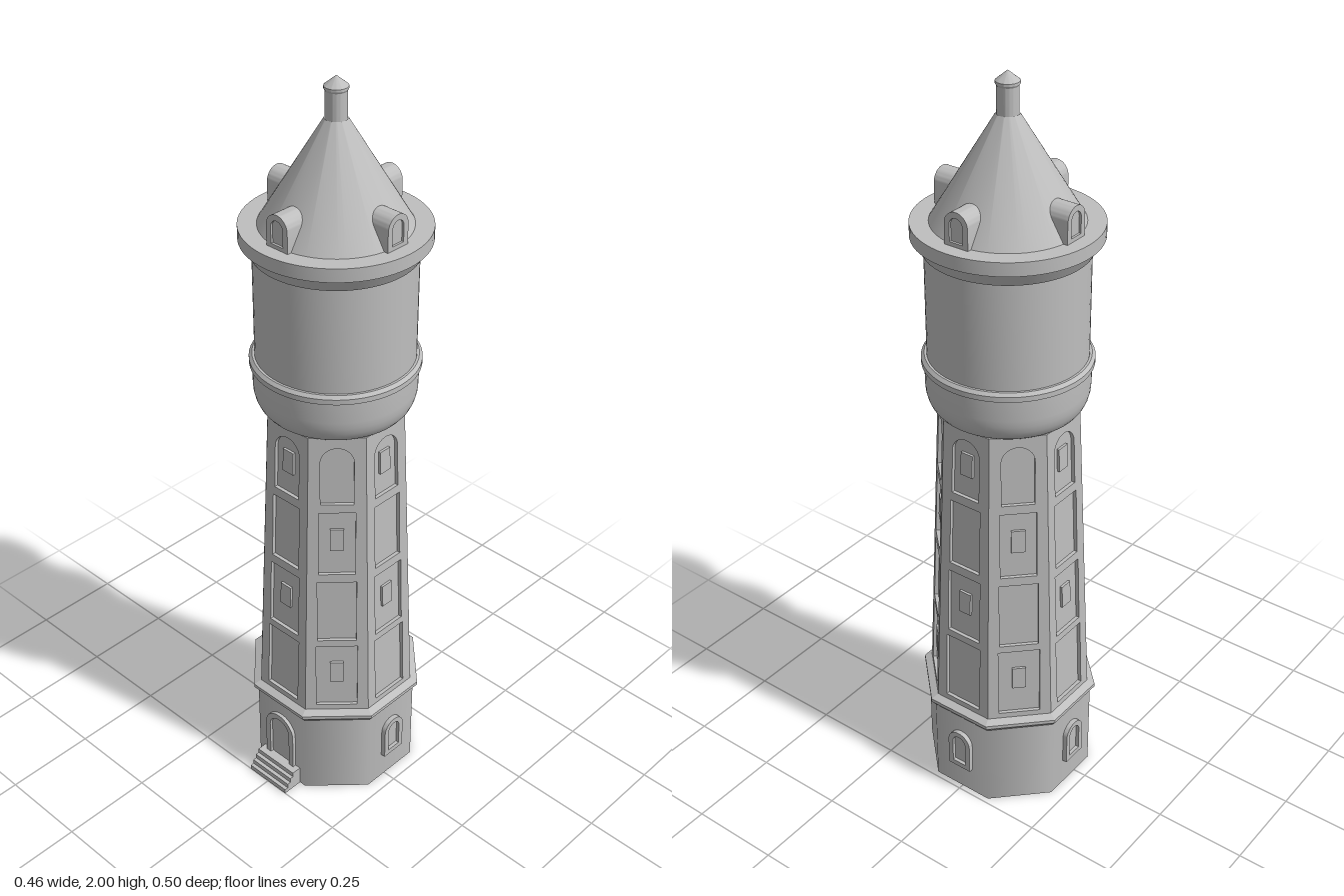
import * as THREE from 'three';
import { toCreasedNormals } from 'three/addons/utils/BufferGeometryUtils.js';

const stone = new THREE.MeshStandardMaterial({ color: 0xbebebe });
stone.name = 'grey stone';

function add(parent, name, geometry, x = 0, y = 0, z = 0) {
  const mesh = new THREE.Mesh(geometry, stone);
  mesh.name = name;
  mesh.position.set(x, y, z);
  parent.add(mesh);
  return mesh;
}

// Octagonal frustum given by apothems, one side facing +z
function octagon(top, bottom, height, flat = true) {
  const k = 1 / Math.cos(Math.PI / 8);
  let g = new THREE.CylinderGeometry(top * k, bottom * k, height, 8).rotateY(Math.PI / 8);
  if (flat) g = toCreasedNormals(g, 0.1);
  return g;
}

// Round-headed outline, or a plain rectangle when round is false
function outline(C, halfWidth, y0, y1, round = true) {
  const p = new C();
  p.moveTo(-halfWidth, y0);
  p.lineTo(halfWidth, y0);
  if (round) {
    p.lineTo(halfWidth, y1 - halfWidth);
    p.absarc(0, y1 - halfWidth, halfWidth, 0, Math.PI, false);
  } else {
    p.lineTo(halfWidth, y1);
    p.lineTo(-halfWidth, y1);
  }
  p.closePath();
  return p;
}

function extrude(shape, depth) {
  const g = new THREE.ExtrudeGeometry(shape, { depth, bevelEnabled: false, curveSegments: 10 });
  return toCreasedNormals(g, 0.5);
}

// Raised arched surround with a recessed infill
function archedOpening(parent, name, halfWidth, y0, y1, border, z, depth) {
  const frame = outline(THREE.Shape, halfWidth, y0, y1);
  frame.holes.push(outline(THREE.Path, halfWidth - border, y0 + border, y1 - border));
  add(parent, name + 'Frame', extrude(frame, depth), 0, 0, z);
  add(parent, name + 'Pane', extrude(outline(THREE.Shape, halfWidth - border, y0 + border, y1 - border), depth * 0.4), 0, 0, z);
}

function lathe(points) {
  const g = new THREE.LatheGeometry(points.map(([r, y]) => new THREE.Vector2(r, y)), 64);
  return toCreasedNormals(g, 0.45);
}

export function createModel() {
  const model = new THREE.Group();
  model.name = 'waterTower';
  const tower = new THREE.Group();
  tower.name = 'tower';
  tower.position.z = -0.022;
  model.add(tower);

  // Octagonal plinth with its moulding
  add(tower, 'plinth', octagon(0.213, 0.213, 0.25, false), 0, 0.125, 0);
  add(tower, 'plinthFlare', octagon(0.225, 0.213, 0.015), 0, 0.2575, 0);
  add(tower, 'plinthMoulding', octagon(0.225, 0.225, 0.01), 0, 0.27, 0);
  add(tower, 'plinthSlope', octagon(0.205, 0.225, 0.01), 0, 0.28, 0);

  // Tapering shaft: a core covered by eight walls with sunk panels
  const y0 = 0.28, y1 = 1.145, a0 = 0.206, a1 = 0.17, sink = 0.01;
  const height = y1 - y0, tan = Math.tan(Math.PI / 8);
  const tilt = Math.atan((a0 - a1) / height);
  add(tower, 'shaftCore', octagon(a1 - sink, a0 - sink, height), 0, (y0 + y1) / 2, 0);
  const rows = [[0.30, 0.50, 0.055], [0.52, 0.71, 0.051], [0.735, 0.925, 0.047], [0.95, 1.115, 0.042]];
  for (let i = 0; i < 8; i++) {
    const side = new THREE.Group();
    side.name = 'shaftSide' + i;
    side.rotation.y = i * Math.PI / 4;
    tower.add(side);
    const wall = new THREE.Group();
    wall.name = 'shaftWall';
    wall.position.set(0, y0, a0);
    wall.rotation.x = -tilt;
    side.add(wall);

    const shape = new THREE.Shape([
      new THREE.Vector2(-a0 * tan, 0), new THREE.Vector2(a0 * tan, 0),
      new THREE.Vector2(a1 * tan, height), new THREE.Vector2(-a1 * tan, height)]);
    rows.forEach(([b, t, w], row) => {
      shape.holes.push(outline(THREE.Path, w, b - y0, t - y0, row === 3));
      // Small windows alternate between neighbouring sides
      if (row % 2 !== i % 2) {
        add(wall, 'shaftWindow', new THREE.BoxGeometry(0.036, 0.064, 0.012), 0, (b + t) / 2 - y0 + 0.01, -sink + 0.001);
      }
    });
    add(wall, 'panelledWall', extrude(shape, sink), 0, 0, -sink);
  }

  // Round tank with bowl, band and cornice
  const bowl = [];
  for (let i = 0; i <= 6; i++) {
    const t = i / 6 * Math.PI / 2;
    bowl.push([0.165 + 0.041 * Math.sin(t), 1.21 - 0.07 * Math.cos(t)]);
  }
  add(tower, 'tank', lathe([
    [0, 1.14], ...bowl, [0.206, 1.265], [0.214, 1.268], [0.214, 1.282], [0.206, 1.29], [0.2, 1.29],
    [0.2, 1.57], [0.206, 1.57], [0.226, 1.605], [0.232, 1.605], [0.232, 1.64], [0, 1.64]]));

  // Conical roof and finial
  add(tower, 'roof', lathe([[0.186, 1.64], [0.028, 1.9]]));
  add(tower, 'finial', lathe([[0.026, 1.89], [0.026, 1.965], [0.029, 1.97], [0.029, 1.976], [0, 2.0]]));

  // Four dormers; arched plinth windows on three sides, the door on the front
  for (let i = 0; i < 4; i++) {
    const side = new THREE.Group();
    side.name = 'quarter' + i;
    side.rotation.y = i * Math.PI / 2;
    tower.add(side);
    add(side, 'dormer', extrude(outline(THREE.Shape, 0.034, 1.635, 1.726), 0.085), 0, 0, 0.1);
    archedOpening(side, 'dormerWindow', 0.034, 1.635, 1.726, 0.015, 0.184, 0.01);
    if (i > 0) archedOpening(side, 'plinthWindow', 0.036, 0.08, 0.2, 0.015, 0.21, 0.016);
    else archedOpening(side, 'door', 0.052, 0.03, 0.215, 0.016, 0.208, 0.015);
  }

  // Entrance steps
  const steps = 4, rise = 0.0138;
  for (let i = 0; i < steps; i++) {
    const depth = 0.075 - i * 0.0105;
    add(model, 'step', new THREE.BoxGeometry(0.137, rise, depth), 0, rise * (i + 0.5), 0.175 + depth / 2);
  }
  return model;
}
